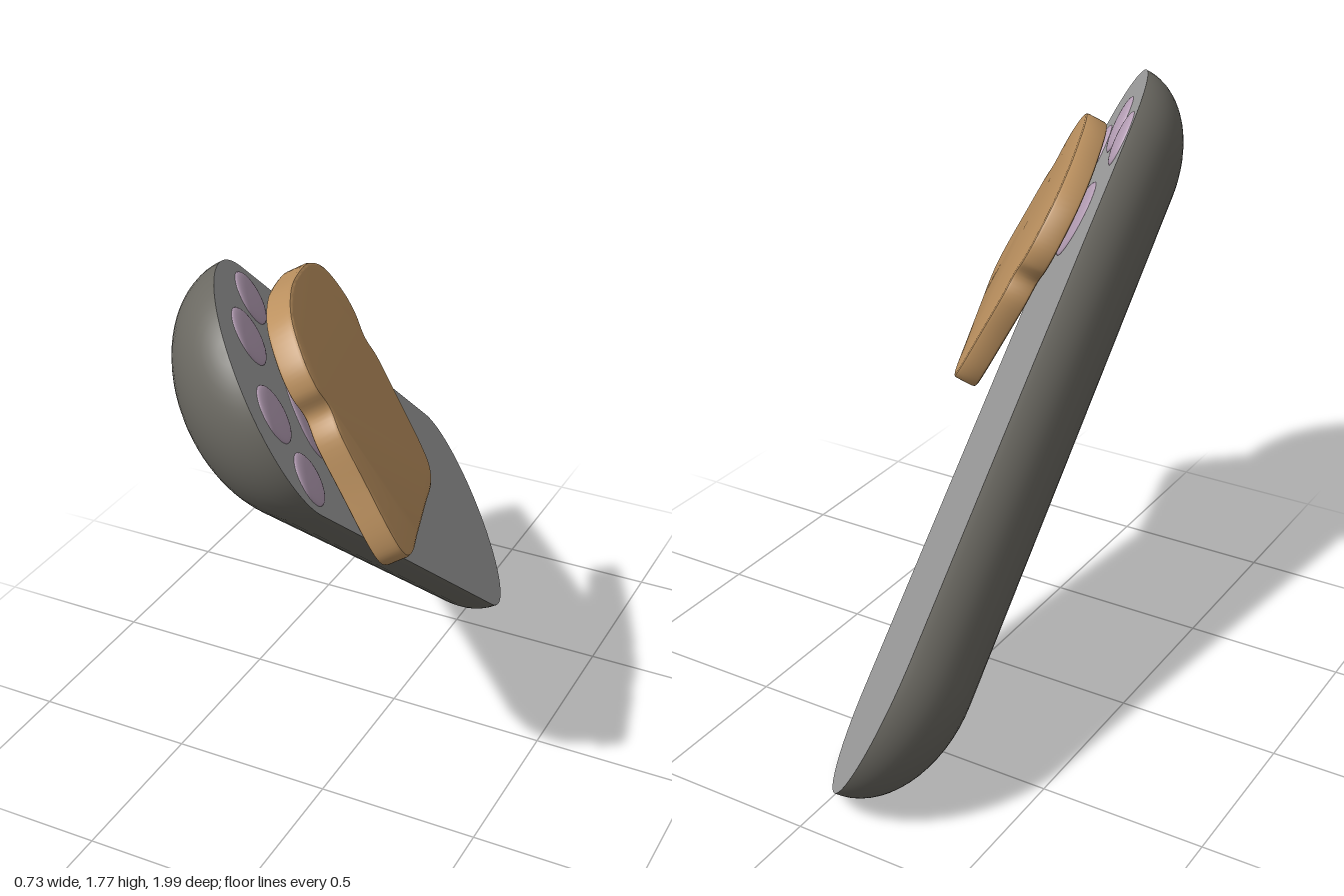
import * as THREE from 'three';
import { toCreasedNormals } from 'three/addons/utils/BufferGeometryUtils.js';

const mat = (name, color, side = THREE.FrontSide) => {
  const m = new THREE.MeshStandardMaterial({ color, side });
  m.name = name;
  return m;
};

function addMesh(parent, name, geometry, material) {
  const mesh = new THREE.Mesh(geometry, material);
  mesh.name = name;
  parent.add(mesh);
  return mesh;
}

// Group at an origin, oriented with local y along `up` and local z along `normal`
function orientedGroup(name, origin, up, normal) {
  const y = up.clone().normalize();
  const z = normal.clone().addScaledVector(y, -normal.dot(y)).normalize();
  const x = new THREE.Vector3().crossVectors(y, z);
  const g = new THREE.Group();
  g.name = name;
  g.position.copy(origin);
  g.quaternion.setFromRotationMatrix(new THREE.Matrix4().makeBasis(x, y, z));
  return g;
}

export function createModel() {
  const fur = mat('dark fur', 0x6b6962, THREE.DoubleSide);
  const sole = mat('grey sole', 0x9e9e9e);
  const pink = mat('pad mauve', 0xb69fb6);
  const toast = mat('toast brown', 0xbd9260);

  const model = new THREE.Group();
  model.name = 'pawWithBread';

  const top = new THREE.Vector3(-0.01, 1.44, 0.653);
  const bottom = new THREE.Vector3(-0.075, 0.341, -0.666);
  const normal = new THREE.Vector3(0.81, 0.45, -0.37).normalize();
  const axis = top.clone().sub(bottom);
  const length = axis.length();
  const radius = 0.36, depth = 0.25;

  // Arm: local origin at the centre of the paw's rounded end
  const arm = orientedGroup('arm', top, axis, normal);
  model.add(arm);

  // Rounded back: half of a capsule, flattened
  const profile = [];
  const steps = 16;
  for (let i = 0; i <= steps; i++) {
    const a = -Math.PI / 2 + (i / steps) * Math.PI / 2;
    profile.push(new THREE.Vector2(Math.max(radius * Math.cos(a), 1e-4), -length + radius * Math.sin(a)));
  }
  for (let i = 0; i <= steps; i++) {
    const a = (i / steps) * Math.PI / 2;
    profile.push(new THREE.Vector2(Math.max(radius * Math.cos(a), 1e-4), radius * Math.sin(a)));
  }
  const back = new THREE.LatheGeometry(profile, 32, Math.PI / 2, Math.PI);
  back.scale(1, 1, depth / radius);
  addMesh(arm, 'armBack', back, fur);

  // Flat stadium-shaped sole
  const stadium = new THREE.Shape();
  stadium.absarc(0, 0, radius, 0, Math.PI, false);
  stadium.absarc(0, -length, radius, Math.PI, Math.PI * 2, false);
  stadium.closePath();
  addMesh(arm, 'armSole', new THREE.ShapeGeometry(stadium, 32), sole);

  // Toe pads and main pad: flattened domes on the sole
  const dome = new THREE.SphereGeometry(1, 32, 10, 0, Math.PI * 2, 0, Math.PI / 2);
  dome.rotateX(Math.PI / 2);
  const addPad = (name, x, y, rx, ry) => {
    const pad = addMesh(arm, name, dome, pink);
    pad.position.set(x, y, 0);
    pad.scale.set(rx, ry, 0.016);
  };
  for (const s of [-1, 1]) {
    addPad('innerToePad', s * 0.11, 0.137, 0.078, 0.1);
    addPad('outerToePad', s * 0.262, 0.01, 0.073, 0.093);
  }
  addPad('mainPad', 0, -0.17, 0.16, 0.12);

  // Bread slice: half outline mirrored into a closed curve
  const half = [
    [0.12, -0.35], [0.26, -0.35], [0.34, -0.322], [0.37, -0.25], [0.372, -0.1], [0.371, 0.04],
    [0.343, 0.115], [0.37, 0.185], [0.355, 0.265], [0.28, 0.357], [0.15, 0.405],
  ];
  const outline = [
    ...half, [0, 0.415],
    ...half.slice().reverse().map(([x, y]) => [-x, y]),
  ].map(([x, y]) => new THREE.Vector2(x, y));
  const curve = new THREE.SplineCurve([...outline, outline[0].clone()]);
  const sliceShape = new THREE.Shape(curve.getPoints(138).slice(0, -1));
  const thickness = 0.075, bevel = 0.01;
  const sliceGeo = new THREE.ExtrudeGeometry(sliceShape, {
    depth: thickness - 2 * bevel, steps: 1,
    bevelEnabled: true, bevelSize: bevel, bevelThickness: bevel, bevelOffset: -bevel, bevelSegments: 2,
  });
  sliceGeo.translate(0, 0, bevel - thickness);
  const bread = orientedGroup('bread', new THREE.Vector3(0.105, 1.28, 0.385),
    new THREE.Vector3(-normal.y, normal.x, 0), normal);
  addMesh(bread, 'breadSlice', toCreasedNormals(sliceGeo, 0.6), toast).position.x = 0.012;
  model.add(bread);

  return model;
}
